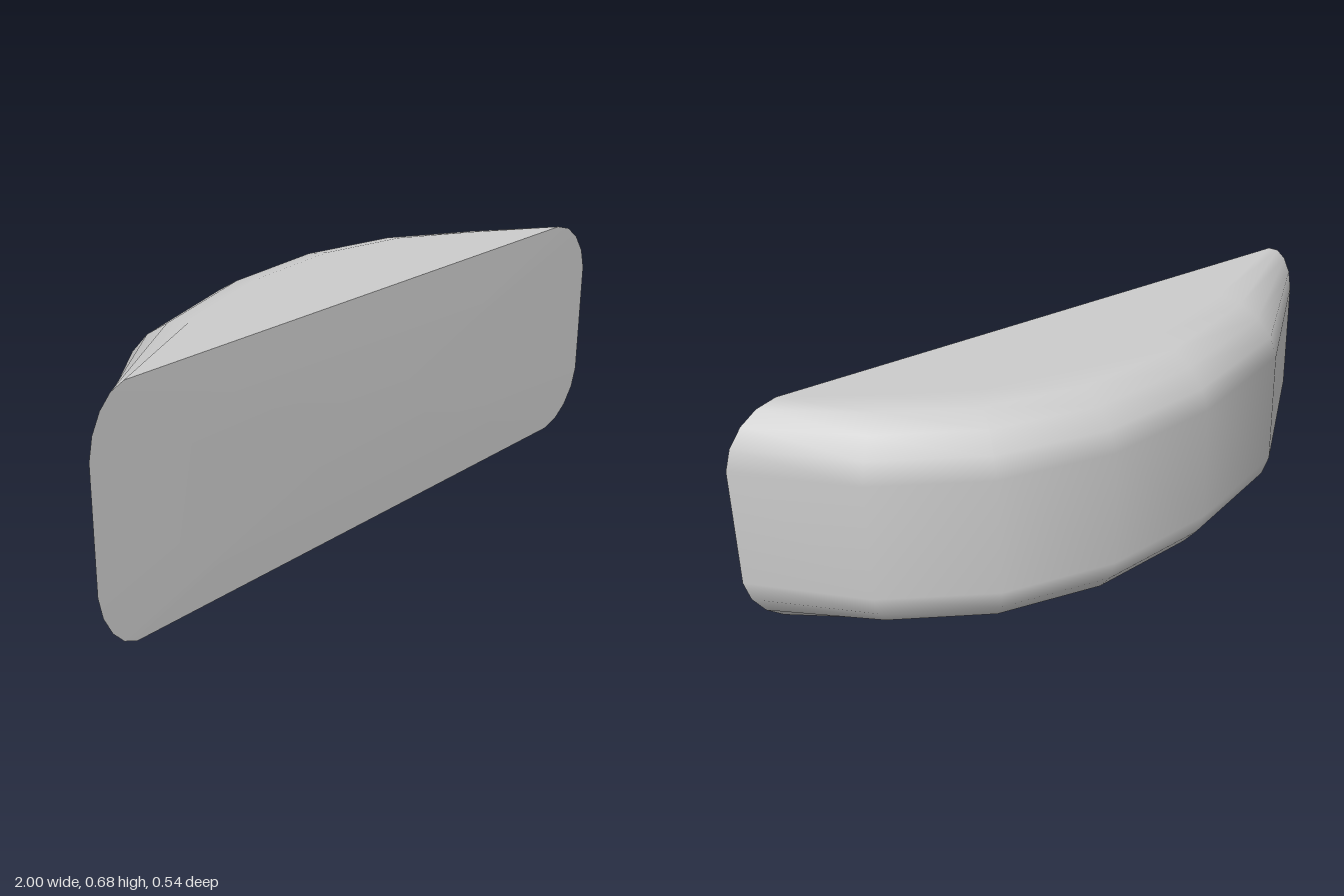
import * as THREE from 'three';

// Plan outlines [x, z], running from the -x tip round the back to the +x tip
const OUTER = [[-1, 0.26], [-0.59, -0.10], [-0.2, -0.235], [0.15, -0.27], [0.475, -0.2], [0.76, -0.02], [1, 0.26]];
const INNER = [[-0.89, 0.26], [-0.51, 0.07], [-0.16, -0.045], [0.15, -0.075], [0.41, -0.02], [0.61, 0.1], [0.84, 0.26]];
const HEIGHT = 0.675;
// Rounded edge: [blend from inner to outer outline, depth below the top]
const FILLET = [[0, 0], [0.36, 0.017], [0.66, 0.053], [0.89, 0.105], [1, 0.165]];

function build(points, index) {
  const g = new THREE.BufferGeometry();
  g.setAttribute('position', new THREE.Float32BufferAttribute(points.flat(), 3));
  g.setIndex(index);
  g.computeVertexNormals();
  return g;
}

export function createModel() {
  const group = new THREE.Group();
  const material = new THREE.MeshStandardMaterial({ color: 0xcccccc });
  const add = (name, geometry) => {
    const mesh = new THREE.Mesh(geometry, material);
    mesh.name = name;
    group.add(mesh);
  };

  // Cross-sections from bottom to top
  const levels = [
    ...FILLET,
    ...FILLET.slice().reverse().map(([t, d]) => [t, HEIGHT - d]),
  ];
  const rings = levels.map(([t, y]) => OUTER.map(([x, z], i) => {
    const [ix, iz] = INNER[i];
    return [ix + (x - ix) * t, y, iz + (z - iz) * t];
  }));
  const n = OUTER.length;
  const last = rings.length - 1;

  // Curved back wall with its rounded top and bottom edges
  const index = [];
  for (let j = 0; j < last; j++) {
    for (let i = 0; i < n - 1; i++) {
      const a = j * n + i, b = a + n;
      index.push(a, b, b + 1, a, b + 1, a + 1);
    }
  }
  const shell = build(rings.flat(), index);
  for (let i = 0; i < n; i++) { // blend smoothly into the flat caps
    shell.attributes.normal.setXYZ(i, 0, -1, 0);
    shell.attributes.normal.setXYZ(last * n + i, 0, 1, 0);
  }
  add('curvedBack', shell);

  // Flat top and bottom
  const top = [], bottom = [];
  for (let i = 1; i < n - 1; i++) {
    top.push(0, i + 1, i);
    bottom.push(0, i, i + 1);
  }
  add('topFace', build(rings[last], top));
  add('bottomFace', build(rings[0], bottom));

  // Front face, very slightly domed towards its middle
  const outline = [
    ...rings.map((r) => r[n - 1]),
    ...rings.map((r) => r[0]).reverse(),
  ];
  const front = [];
  outline.forEach((_, k) => front.push(0, k + 1, ((k + 1) % outline.length) + 1));
  add('frontFace', build([[0, HEIGHT / 2, 0.27], ...outline], front));

  return group;
}
